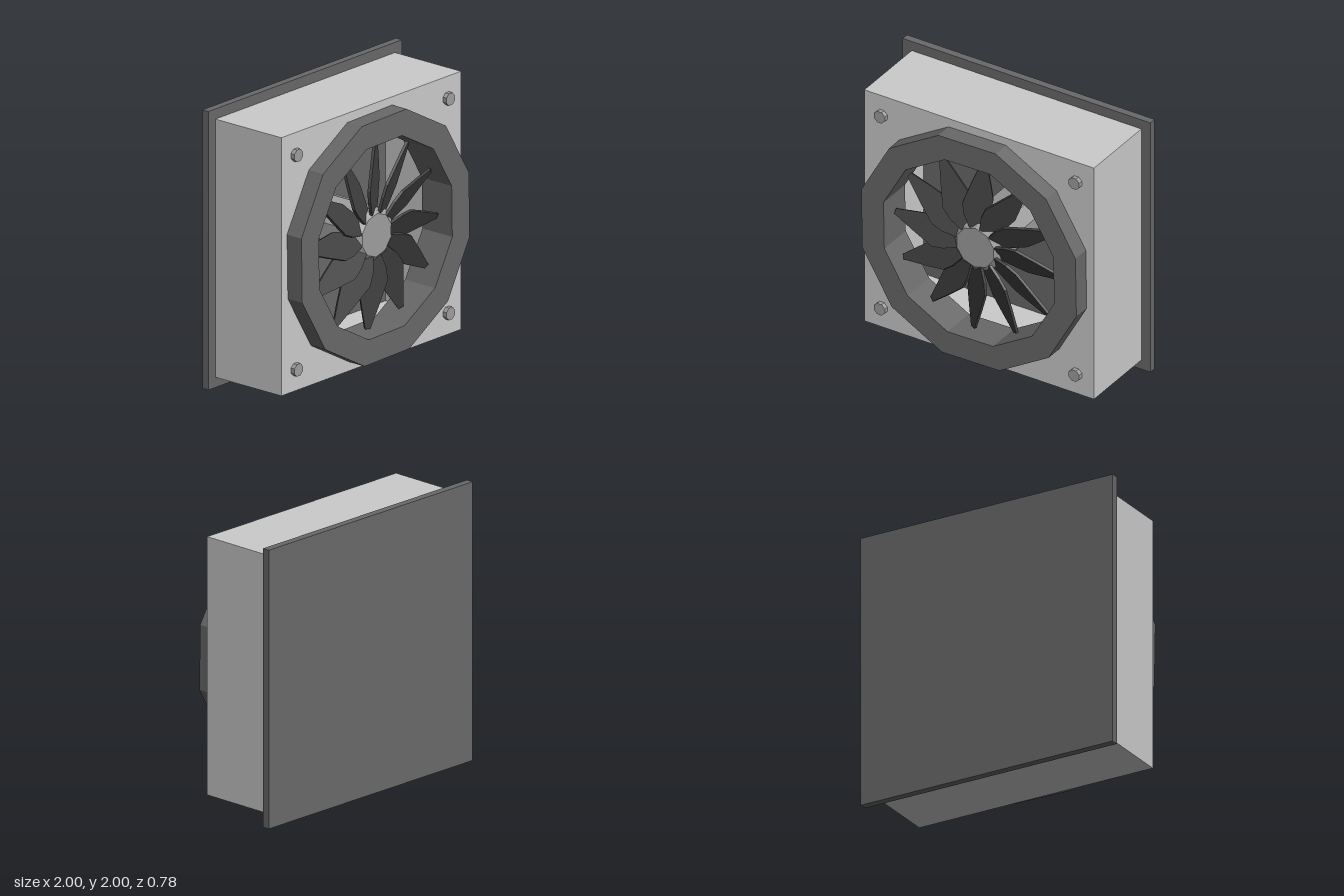
import * as THREE from 'three';

const mat = (color) => new THREE.MeshStandardMaterial({ color, flatShading: true });

// Regular polygon points around the origin
function polygon(sides, radius, startDeg) {
  return Array.from({ length: sides }, (_, i) => {
    const a = THREE.MathUtils.degToRad(startDeg) + (i * 2 * Math.PI) / sides;
    return new THREE.Vector2(Math.cos(a) * radius, Math.sin(a) * radius);
  });
}

const square = (half) => polygon(4, half * Math.SQRT2, 45);

// Outline with an optional hole, extruded between two depths
function slab(outer, hole, z0, z1) {
  const shape = new THREE.Shape(outer);
  if (hole) shape.holes.push(new THREE.Path(hole));
  return new THREE.ExtrudeGeometry(shape, { depth: z1 - z0, bevelEnabled: false }).translate(0, 0, z0);
}

export function createModel() {
  const model = new THREE.Group();
  model.name = 'ventilationFan';
  const body = new THREE.Group();
  body.position.y = 1;
  model.add(body);

  const grey = mat(0xcccccc);
  const dark = mat(0x696969);
  const steel = mat(0x9f9f9f);
  const black = mat(0x414141);

  const add = (name, geometry, material, parent = body) => {
    const mesh = new THREE.Mesh(geometry, material);
    mesh.name = name;
    parent.add(mesh);
    return mesh;
  };

  // Mounting plate and hollow housing
  add('backPlate', slab(square(1), null, -0.39, -0.335), dark);
  add('housingWalls', slab(square(0.927), square(0.83), -0.335, 0.14), grey);
  add('housingFront', slab(square(0.927), polygon(12, 0.8, 16), 0.14, 0.26), grey);

  // Twelve-sided intake ring
  add('intakeRing', slab(polygon(12, 0.895, 16), polygon(12, 0.71, 16), 0.12, 0.39), dark);

  // Hub and motor shaft with a chamfered front
  const profile = [[0, -0.335], [0.197, -0.335], [0.197, 0.28], [0.155, 0.31], [0, 0.31]]
    .map(([r, z]) => new THREE.Vector2(r, z));
  const hub = new THREE.LatheGeometry(profile, 10).rotateX(Math.PI / 2).rotateZ(-0.03);
  add('hub', hub, steel);

  // Pitched blades
  const outline = [[-0.05, 0.15], [0.05, 0.15], [0.075, 0.25], [0.1, 0.38], [0.085, 0.5],
    [0.06, 0.67], [0.025, 0.675], [-0.04, 0.5], [-0.095, 0.34], [-0.085, 0.25]];
  const pitch = 0.42;
  const bladeGeometry = slab(
    outline.map(([x, y]) => new THREE.Vector2(x / Math.cos(pitch), y)), null, -0.01, 0.01);
  bladeGeometry.rotateY(pitch).translate(0, 0, 0.28);
  const blades = new THREE.Group();
  blades.name = 'blades';
  body.add(blades);
  for (let i = 0; i < 12; i++) {
    add('blade', bladeGeometry, black, blades).rotation.z = (i * Math.PI) / 6;
  }

  // Corner bolts
  const boltGeometry = new THREE.CylinderGeometry(0.047, 0.047, 0.06, 8).rotateX(Math.PI / 2).rotateZ(Math.PI / 8);
  for (const x of [-1, 1]) {
    for (const y of [-1, 1]) {
      add('bolt', boltGeometry, steel).position.set(x * 0.785, y * 0.77, 0.262);
    }
  }
  return model;
}
